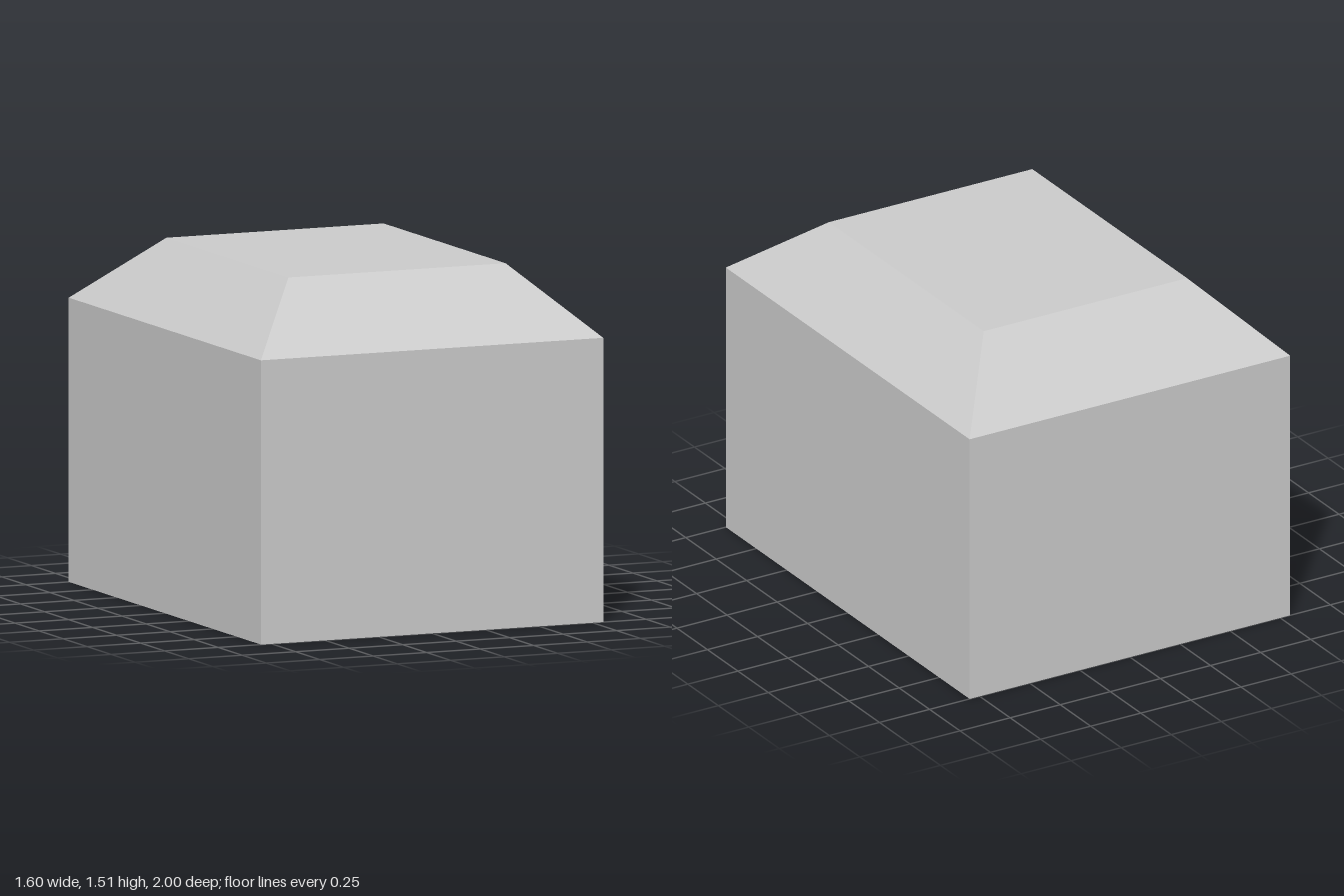
import * as THREE from 'three';

const WIDTH = 1.6, DEPTH = 2;
const WALL_HEIGHT = 1.225, ROOF_HEIGHT = 0.29;
const ROOF_TOP_WIDTH = 1.015, ROOF_TOP_DEPTH = 1.27;

// Box standing on y = 0 whose top is scaled; one hidden face (2 = top, 3 = bottom) is left out
function taperedBox(height, topX, topZ, hiddenFace) {
  const geometry = new THREE.BoxGeometry(WIDTH, height, DEPTH).translate(0, height / 2, 0);
  const pos = geometry.attributes.position;
  for (let i = 0; i < pos.count; i++) {
    if (pos.getY(i) > height / 2) {
      pos.setX(i, pos.getX(i) * topX);
      pos.setZ(i, pos.getZ(i) * topZ);
    }
  }
  const index = Array.from(geometry.index.array);
  index.splice(hiddenFace * 6, 6);
  geometry.clearGroups();
  geometry.setIndex(index);
  geometry.computeVertexNormals();
  return geometry;
}

export function createModel() {
  const group = new THREE.Group();
  group.name = 'building';
  const material = new THREE.MeshStandardMaterial({ color: 0xcccccc, flatShading: true });

  // Straight walls and floor
  const walls = new THREE.Mesh(taperedBox(WALL_HEIGHT, 1, 1, 2), material);
  walls.name = 'walls';

  // Sloped roof with a flat top
  const roof = new THREE.Mesh(
    taperedBox(ROOF_HEIGHT, ROOF_TOP_WIDTH / WIDTH, ROOF_TOP_DEPTH / DEPTH, 3), material);
  roof.name = 'roof';
  roof.position.y = WALL_HEIGHT;

  group.add(walls, roof);
  return group;
}
